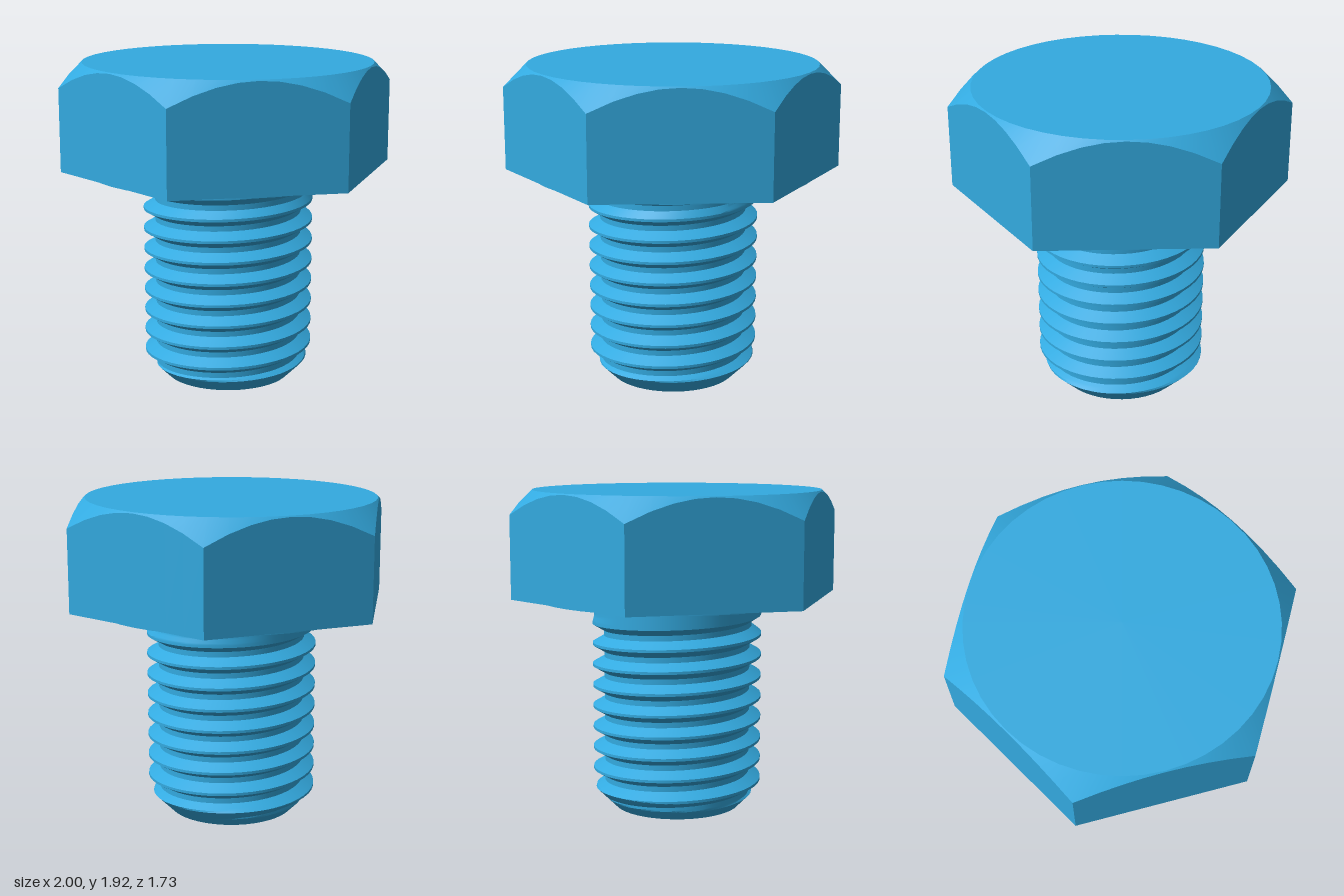
import * as THREE from 'three';
import { toCreasedNormals } from 'three/addons/utils/BufferGeometryUtils.js';

const SEGMENTS = 48;
const clamp = THREE.MathUtils.clamp;
const lerp = THREE.MathUtils.lerp;

// Skins a stack of rings, bottom to top; each ring maps an angle to [radius, y].
function loft(rings) {
  const point = (ring, i) => {
    const a = (i / SEGMENTS) * Math.PI * 2;
    const [r, y] = ring(a);
    return new THREE.Vector3(r * Math.cos(a), y, -r * Math.sin(a));
  };
  const positions = [];
  const triangle = new THREE.Triangle();
  const addTriangle = (a, b, c) => {
    if (triangle.set(a, b, c).getArea() < 1e-8) return;
    for (const p of [a, b, c]) positions.push(p.x, p.y, p.z);
  };
  for (let j = 0; j + 1 < rings.length; j++) {
    for (let i = 0; i < SEGMENTS; i++) {
      const a = point(rings[j], i), b = point(rings[j], i + 1);
      const c = point(rings[j + 1], i + 1), d = point(rings[j + 1], i);
      addTriangle(a, b, c);
      addTriangle(a, c, d);
    }
  }
  const geometry = new THREE.BufferGeometry();
  geometry.setAttribute('position', new THREE.Float32BufferAttribute(positions, 3));
  return toCreasedNormals(geometry, 0.5);
}

// Hexagonal head: corner-chamfered top and a thin round bearing face below.
function headGeometry() {
  const top = 1.925, under = 1.29, bearing = 1.283, circle = 0.86;
  const sector = Math.PI / 3;
  const hex = (a) => Math.cos(sector / 2) / Math.cos((a % sector) - sector / 2);
  // Snap to the nearest segment so corners land exactly on a sector boundary
  const hexAt = (a) => {
    const i = Math.round((a / (Math.PI * 2)) * SEGMENTS) % (SEGMENTS / 6);
    return hex((i / SEGMENTS) * Math.PI * 2);
  };
  return loft([
    () => [0, bearing],
    () => [circle, bearing],
    () => [circle, under],
    (a) => [hexAt(a), under],
    (a) => [hexAt(a), top - (hexAt(a) - circle)],
    () => [circle, top],
    () => [0, top],
  ]);
}

// Shank with a right-handed helical thread, run-out below the head and a chamfered tip.
function shankGeometry() {
  const radius = 0.51, depth = 0.069, pitch = 0.1275, firstCrest = 0.217;
  const top = 1.29, tip = 0.38;
  // One turn of thread: [fraction of pitch, share of full depth]
  const profile = [[0, 0], [1 / 16, 0], [0.375, 1], [0.625, 1], [15 / 16, 0], [1, 0]];
  const steps = 4;
  const rings = [() => [0, 0]];
  for (let turn = -3; turn < 9; turn++) {
    for (let k = 0; k + 1 < profile.length; k++) {
      for (let n = 0; n < steps; n++) {
        const f = lerp(profile[k][0], profile[k + 1][0], n / steps);
        const cut = lerp(profile[k][1], profile[k + 1][1], n / steps);
        rings.push((a) => {
          const t = turn + a / (Math.PI * 2);
          const runOut = clamp((7.25 - t) / 0.75, 0, 1);
          const y = clamp(firstCrest + pitch * (t + f), 0, top);
          return [Math.min(radius - depth * cut * runOut, tip + y), y];
        });
      }
    }
  }
  return loft(rings);
}

export function createModel() {
  const model = new THREE.Group();
  model.name = 'hexBolt';
  const material = new THREE.MeshStandardMaterial({ color: 0x33aae0 });
  const parts = { head: headGeometry(), threadedShank: shankGeometry() };
  for (const [name, geometry] of Object.entries(parts)) {
    const mesh = new THREE.Mesh(geometry, material);
    mesh.name = name;
    model.add(mesh);
  }
  return model;
}
